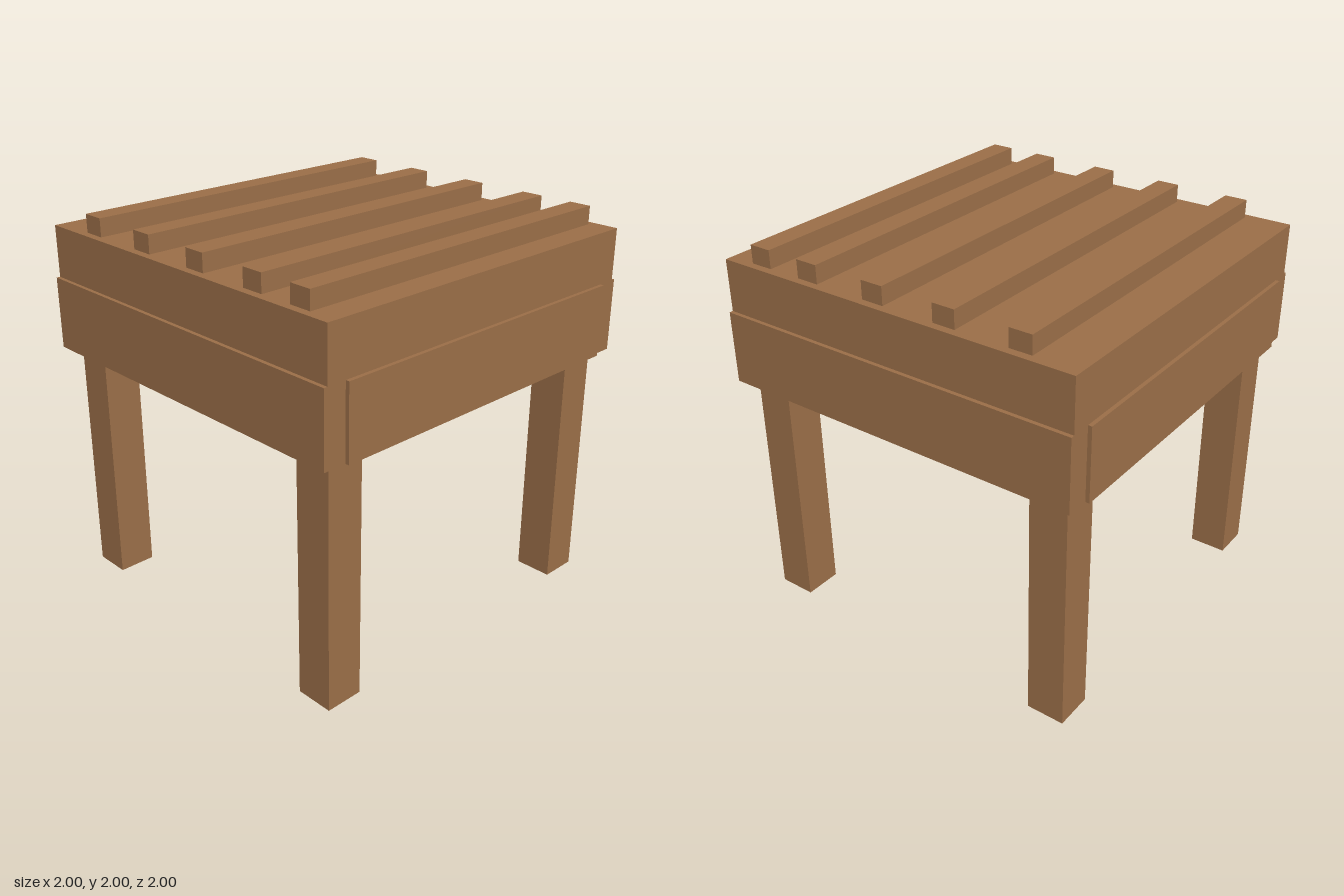
import * as THREE from 'three';

export function createModel() {
  const model = new THREE.Group();
  const wood = new THREE.MeshStandardMaterial({ color: 0x996d47 });
  wood.name = 'brown wood';

  // Box given by its minimum and maximum on each axis
  function box(name, [x0, x1], [y0, y1], [z0, z1]) {
    const mesh = new THREE.Mesh(new THREE.BoxGeometry(x1 - x0, y1 - y0, z1 - z0), wood);
    mesh.position.set((x0 + x1) / 2, (y0 + y1) / 2, (z0 + z1) / 2);
    mesh.name = name;
    model.add(mesh);
  }
  const span = (centre, size) => [centre - size / 2, centre + size / 2];

  // Thick top
  box('top', [-0.98, 0.98], [1.47, 1.907], [-0.98, 0.98]);

  // Slats running front to back, unevenly spaced
  for (const x of [-0.69, -0.297, 0.098, 0.487, 0.781]) {
    box('slat', span(x, 0.118), [1.907, 2], [-0.94, 0.94]);
  }

  // Aprons: long ones at front and back, shorter ones between them
  const apronY = [1.267, 1.64];
  for (const s of [-1, 1]) {
    box(s > 0 ? 'frontApron' : 'backApron', [-0.98, 0.98], apronY, span(s * 0.94, 0.12));
    box(s > 0 ? 'leftApron' : 'rightApron', span(s * 0.94, 0.12), apronY, [-0.88, 0.88]);
  }

  // Square legs, ending just inside the aprons
  for (const x of [-0.823, 0.823]) {
    for (const z of [-0.823, 0.823]) {
      box(z > 0 ? 'frontLeg' : 'backLeg', span(x, 0.197), [0, 1.32], span(z, 0.197));
    }
  }
  return model;
}
